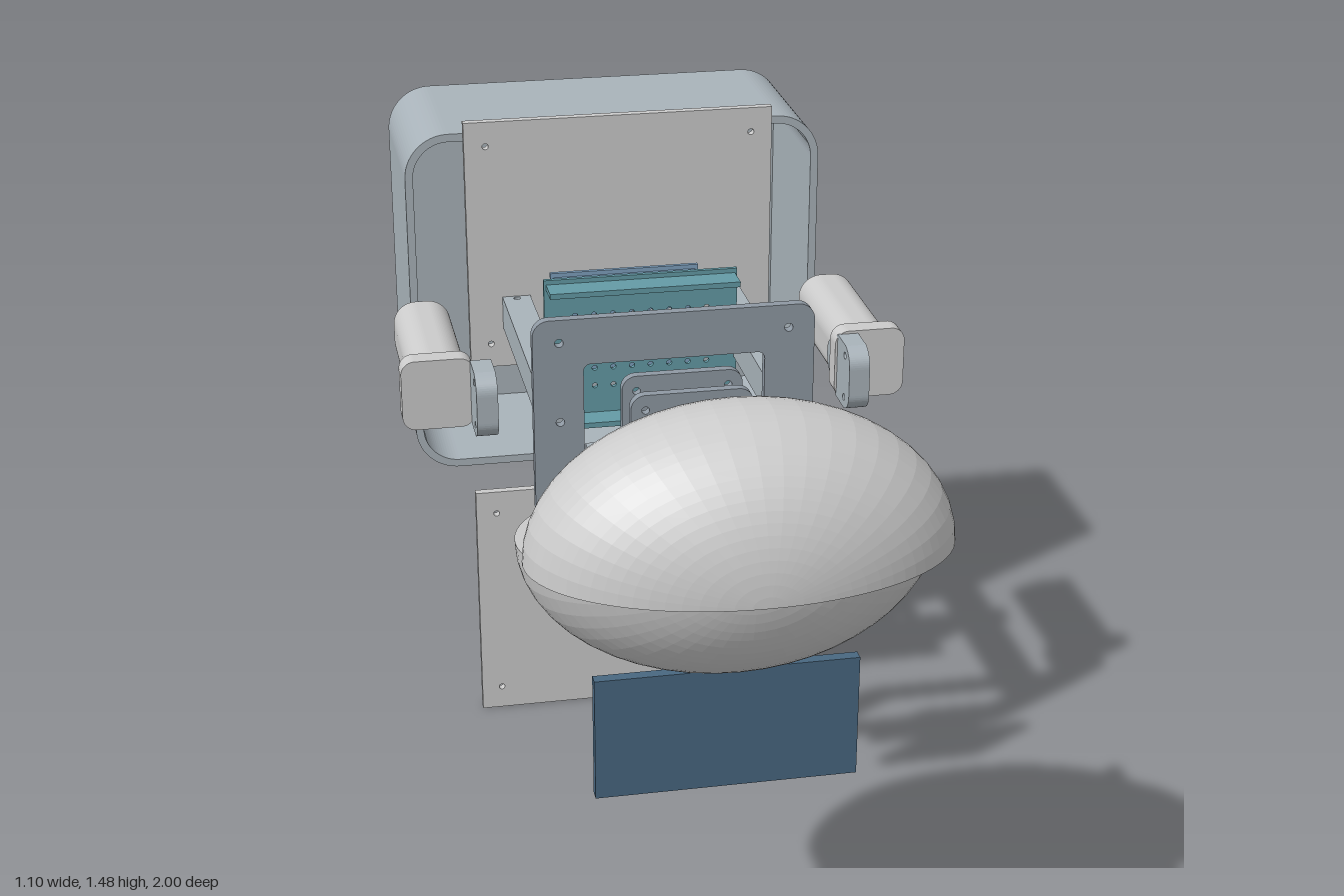
import * as THREE from 'three';

const material = (color, flatShading = false) =>
  new THREE.MeshStandardMaterial({ color, flatShading, side: THREE.DoubleSide });
const grey = material(0xcccccc);
const facetedGrey = material(0xcccccc, true);
const slate = material(0xa9b3ba);
const steel = material(0x8f99a3);
const teal = material(0x649ba6);
const blue = material(0x7ea0be);
const navy = material(0x486780);

// Rounded rectangle centred on (x, y); also used for holes
function roundedRect(w, h, r, x = 0, y = 0, Type = THREE.Path) {
  const p = new Type();
  const a = w / 2 - r, b = h / 2 - r;
  p.moveTo(x + a + r, y - b);
  if (r > 0) {
    p.absarc(x + a, y + b, r, 0, Math.PI / 2);
    p.absarc(x - a, y + b, r, Math.PI / 2, Math.PI);
    p.absarc(x - a, y - b, r, Math.PI, Math.PI * 1.5);
    p.absarc(x + a, y - b, r, Math.PI * 1.5, Math.PI * 2);
  } else {
    p.lineTo(x + a, y + b);
    p.lineTo(x - a, y + b);
    p.lineTo(x - a, y - b);
  }
  p.closePath();
  return p;
}

const hole = (x, y, r) => new THREE.Path().absarc(x, y, r, 0, Math.PI * 2, true);
const corners = (x, y, r) => [-1, 1].flatMap(i => [-1, 1].map(j => hole(i * x, j * y, r)));

// Slab in the xy plane, centred on its thickness
function slab(w, h, d, r = 0, holes = []) {
  const shape = roundedRect(w, h, r, 0, 0, THREE.Shape);
  shape.holes.push(...holes);
  return new THREE.ExtrudeGeometry(shape, { depth: d, bevelEnabled: false, curveSegments: 10 })
    .translate(0, 0, -d / 2);
}

function add(parent, name, geometry, mat, x = 0, y = 0, z = 0) {
  const mesh = new THREE.Mesh(geometry, mat);
  mesh.name = name;
  mesh.position.set(x, y, z);
  parent.add(mesh);
  return mesh;
}

function addGroup(parent, name, x, y, z) {
  const g = new THREE.Group();
  g.name = name;
  g.position.set(x, y, z);
  parent.add(g);
  return g;
}

// Half ellipsoid closed by a flat elliptical face
function headHalf(parent, name, upper, y, z) {
  const g = addGroup(parent, name, 0, y, z);
  const dome = new THREE.SphereGeometry(1, 24, 40, upper ? 0 : Math.PI, Math.PI)
    .rotateX(-Math.PI / 2).scale(0.408, 0.288, 0.247);
  add(g, 'dome', dome, facetedGrey);
  const cap = new THREE.CircleGeometry(1, 80)
    .rotateX(upper ? Math.PI / 2 : -Math.PI / 2).scale(0.408, 1, 0.247);
  add(g, 'flatFace', cap, grey);
  return g;
}

// Perforated board carrier with a lip along its top and bottom
function channel(parent, name, mat, w, lipW, h, y, z, depth, cols, rows) {
  const g = addGroup(parent, name, 0, y, z);
  const holes = [];
  for (let i = 0; i < cols; i++)
    for (let j = 0; j < rows; j++)
      holes.push(hole((i - (cols - 1) / 2) * 0.042, (j - (rows - 1) / 2) * 0.042, 0.006));
  add(g, 'board', slab(w, h, 0.01, 0, holes), mat);
  for (const s of [-1, 1])
    add(g, 'lip', new THREE.BoxGeometry(lipW, 0.012, depth), mat, 0, s * (h / 2 - 0.016), depth / 2);
  return g;
}

export function createModel() {
  const model = new THREE.Group();
  model.name = 'explodedRobotHead';
  const midY = 1.033;

  // Rear housing: open-fronted box with four screw holes in the back
  const housing = addGroup(model, 'housing', 0, midY, -1);
  add(housing, 'housingWall',
    slab(0.955, 0.815, 0.395, 0.1, [roundedRect(0.919, 0.779, 0.082)]), slate, 0, 0, 0.1975);
  add(housing, 'housingBack',
    slab(0.945, 0.805, 0.018, 0.095, corners(0.23, 0.155, 0.005)), slate, 0, 0, 0.0091);

  // Two square cover panels
  for (const y of [1.193, 0.291])
    add(model, 'coverPanel', slab(0.7, 0.582, 0.02, 0, corners(0.302, 0.235, 0.007)), grey, 0, y, -0.547);

  // Display panel
  add(model, 'displayPanel', new THREE.BoxGeometry(0.528, 0.262, 0.024), navy, 0, 0.596, 0.652);

  // Split face shell
  const upper = headHalf(model, 'upperFaceShell', true, midY, 0.753);
  headHalf(model, 'lowerFaceShell', false, midY, 0.653);
  for (const s of [-1, 1]) {
    // Mounting tabs behind the upper shell
    add(upper, 'mountingPost', new THREE.BoxGeometry(0.026, 0.135, 0.06), slate, s * 0.24, 0.069, -0.195);
    const tab = new THREE.Shape();
    tab.moveTo(0.13, 0.15);
    tab.quadraticCurveTo(0.25, 0.165, 0.288, 0.0);
    tab.lineTo(0.2, 0.0);
    tab.closePath();
    const geo = new THREE.ExtrudeGeometry(tab, { depth: 0.02, bevelEnabled: false });
    add(upper, 'mountingTab', geo, slate, 0, 0, -0.195).scale.x = s;
  }

  // Neck spool: two square flanges on a round hub
  const spool = addGroup(model, 'neckSpool', 0, midY, 0.24);
  for (const s of [-1, 1])
    add(spool, 'flange',
      slab(0.25, 0.255, 0.02, 0.03, [hole(0, 0, 0.03), ...corners(0.095, 0.095, 0.008)]),
      steel, 0, 0, s * 0.051);
  const hub = new THREE.Shape().absarc(0, 0, 0.064, 0, Math.PI * 2);
  hub.holes.push(hole(0, 0, 0.03));
  add(spool, 'hub',
    new THREE.ExtrudeGeometry(hub, { depth: 0.084, bevelEnabled: false, curveSegments: 24 })
      .translate(0, 0, -0.042), steel);

  // Front frame with a large window
  add(model, 'frontFrame',
    slab(0.59, 0.45, 0.022, 0.035,
      [roundedRect(0.38, 0.25, 0.015), ...corners(0.24, 0.175, 0.009), hole(-0.24, 0, 0.009), hole(0.24, 0, 0.009)]),
    steel, 0, midY + 0.002, 0.105);

  // Side rails with three vertical holes each
  for (const s of [-1, 1]) {
    const rail = slab(0.064, 0.645, 0.076, 0, [-0.275, 0, 0.275].map(y => hole(0, y, 0.008)))
      .rotateX(Math.PI / 2);
    add(model, 'sideRail', rail, slate, s * 0.241, midY, -0.249);
  }

  // Perforated board carriers
  channel(model, 'frontBoardCarrier', teal, 0.43, 0.42, 0.34, midY, -0.275, 0.065, 8, 5);
  channel(model, 'rearBoardCarrier', blue, 0.34, 0.325, 0.215, midY, -0.485, 0.085, 6, 3);

  // Gear motors and the brackets beside them
  for (const s of [-1, 1]) {
    const motor = addGroup(model, s > 0 ? 'leftMotor' : 'rightMotor', s * 0.466, midY, 0);
    add(motor, 'can', slab(0.126, 0.142, 0.33, 0.05), grey, 0, 0, -0.292);
    add(motor, 'gearbox', slab(0.155, 0.156, 0.045, 0.03), grey, s * 0.005, 0, -0.106);

    // Bracket profile: z runs along shape x before turning
    const ear = new THREE.Shape();
    ear.moveTo(-0.085, -0.072);
    ear.lineTo(-0.015, -0.072);
    ear.quadraticCurveTo(0.022, -0.06, 0.022, -0.03);
    ear.lineTo(0.022, 0.03);
    ear.quadraticCurveTo(0.022, 0.06, -0.015, 0.072);
    ear.lineTo(-0.085, 0.072);
    ear.lineTo(-0.125, 0.045);
    ear.quadraticCurveTo(-0.17, 0.035, -0.17, 0);
    ear.quadraticCurveTo(-0.17, -0.035, -0.125, -0.045);
    ear.closePath();
    ear.holes.push(hole(-0.02, 0.048, 0.008), hole(-0.02, -0.048, 0.008));
    const geo = new THREE.ExtrudeGeometry(ear, { depth: 0.045, bevelEnabled: false })
      .translate(0, 0, -0.0225).rotateY(-Math.PI / 2);
    add(model, 'motorBracket', geo, slate, s > 0 ? 0.421 : -0.379, midY, 0);
  }

  return model;
}
